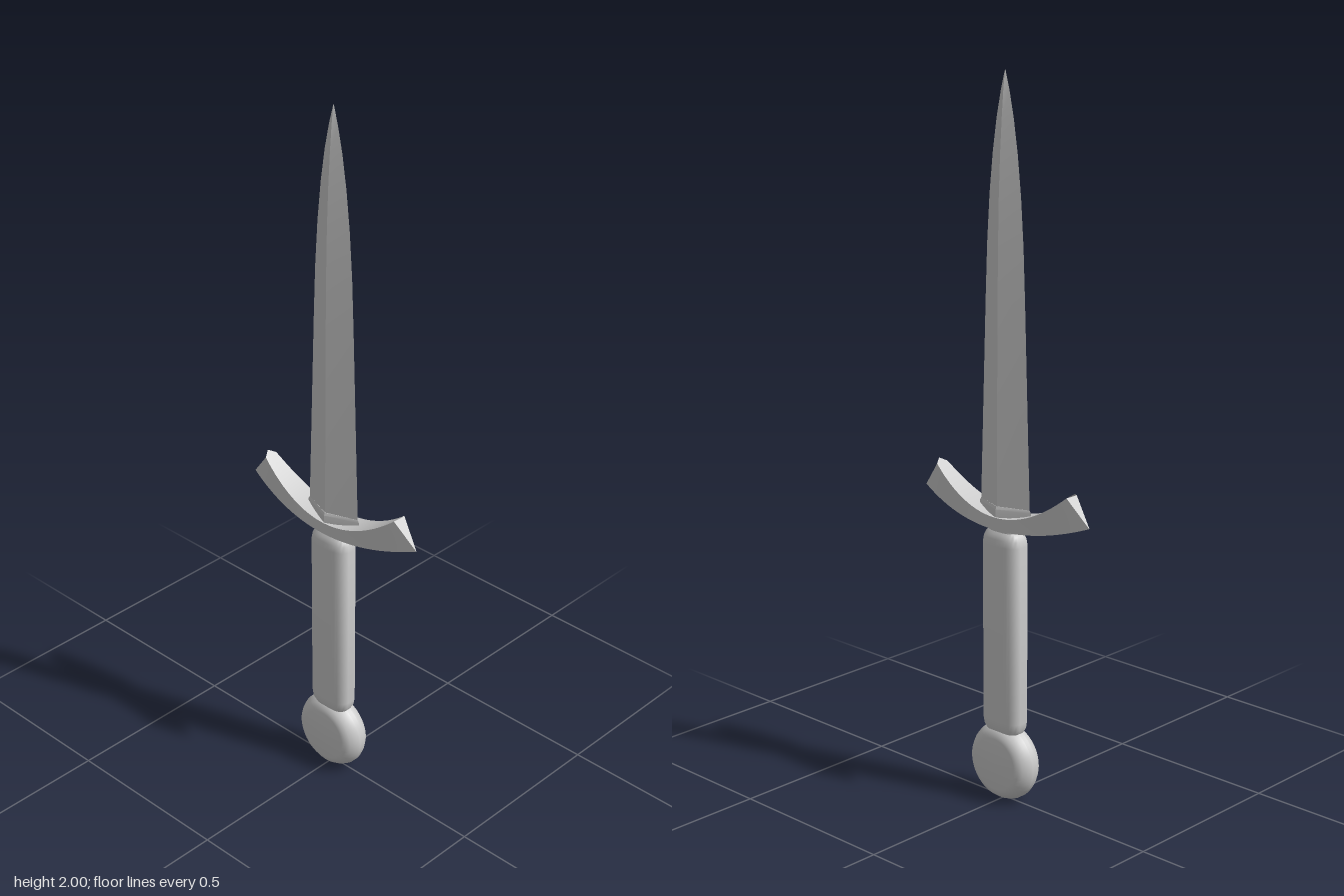
import * as THREE from 'three';
import { toCreasedNormals } from 'three/addons/utils/BufferGeometryUtils.js';

// Skin closed rings of points (counterclockwise seen from the last ring) and cap both ends.
function loft(rings, crease) {
  const n = rings[0].length;
  const pos = rings.flat(2);
  const index = [];
  for (let i = 0; i < rings.length - 1; i++) {
    for (let j = 0; j < n; j++) {
      const a = i * n + j, b = i * n + (j + 1) % n;
      index.push(a, b, b + n, a, b + n, a + n);
    }
  }
  const last = (rings.length - 1) * n;
  for (let j = 1; j < n - 1; j++) {
    index.push(0, j + 1, j, last, last + j, last + j + 1);
  }
  const geo = new THREE.BufferGeometry();
  geo.setAttribute('position', new THREE.Float32BufferAttribute(pos, 3));
  geo.setIndex(index);
  return toCreasedNormals(geo, crease);
}

// Horizontal superellipse ring; power 1 with four sides gives a diamond.
function ring(y, w, d, sides, power = 1) {
  const bend = (v) => Math.sign(v) * Math.pow(Math.abs(v), power);
  return Array.from({ length: sides }, (_, j) => {
    const a = (j / sides) * Math.PI * 2;
    return [w * bend(Math.cos(a)), y, -d * bend(Math.sin(a))];
  });
}

export function createModel() {
  const model = new THREE.Group();
  const material = new THREE.MeshStandardMaterial({ color: 0xcccccc });
  const add = (name, geometry) => {
    const mesh = new THREE.Mesh(geometry, material);
    mesh.name = name;
    model.add(mesh);
    return mesh;
  };

  // Blade: diamond section, [height, half width, half depth]
  const blade = [
    [0.80, 0.091, 0.033], [1.1, 0.081, 0.031], [1.4, 0.071, 0.029], [1.55, 0.065, 0.027],
    [1.68, 0.056, 0.024], [1.79, 0.044, 0.019], [1.88, 0.03, 0.013], [1.95, 0.015, 0.007],
    [2, 0.001, 0.001],
  ];
  add('blade', loft(blade.map(([y, w, d]) => ring(y, w, d, 4)), 0.35));

  // Thin diamond collar at the blade root
  add('bladeCollar', loft([
    ring(0.80, 0.094, 0.037, 4), ring(0.842, 0.094, 0.037, 4), ring(0.85, 0.089, 0.034, 4),
  ], 0.3));

  // Crossguard: upswept bar, wide on top, its underside narrowing to a point at each end
  const sections = [];
  const steps = 28;
  for (let i = 0; i <= steps; i++) {
    const t = (i / steps) * 2 - 1;
    const top = 0.04 - 0.02 * t * t;
    const bottom = 0.038 * (1 - t * t) + 0.0005;
    const edgeT = t - 0.05 * t ** 5;
    const yTop = (u) => 0.82 + 0.11 * u * u;
    const yBottom = 0.785 + 0.06 * t * t;
    sections.push([
      [0.25 * edgeT, yTop(edgeT), -top],
      [0.25 * t, yTop(t), 0],
      [0.25 * edgeT, yTop(edgeT), top],
      [0.3 * t, yBottom, bottom],
      [0.3 * t, yBottom, -bottom],
    ]);
  }
  add('crossguard', loft(sections, 0.5));

  // Grip: flattened oval with rounded shoulders and a short neck under the guard
  const grip = [
    [0.19, 0.05, 0.027], [0.203, 0.057, 0.033], [0.215, 0.064, 0.038], [0.235, 0.067, 0.04],
    [0.74, 0.067, 0.04], [0.758, 0.064, 0.038], [0.77, 0.058, 0.033], [0.777, 0.05, 0.028],
    [0.80, 0.05, 0.028],
  ];
  add('grip', loft(grip.map(([y, w, d]) => ring(y, w, d, 40, 0.75)), 0.6));

  // Pommel: thick disc with flat faces and a rounded rim
  const half = [[0.074, 0.044], [0.085, 0.041], [0.096, 0.033], [0.105, 0.02], [0.11, 0.007]];
  const profile = [
    [0, -0.044], ...half.map(([r, z]) => [r, -z]), ...half.slice().reverse(), [0, 0.044],
  ].map(([r, z]) => new THREE.Vector2(r, z));
  const pommel = add('pommel', toCreasedNormals(new THREE.LatheGeometry(profile, 48), 0.5));
  pommel.geometry.rotateX(Math.PI / 2);
  pommel.position.y = 0.11;

  return model;
}
